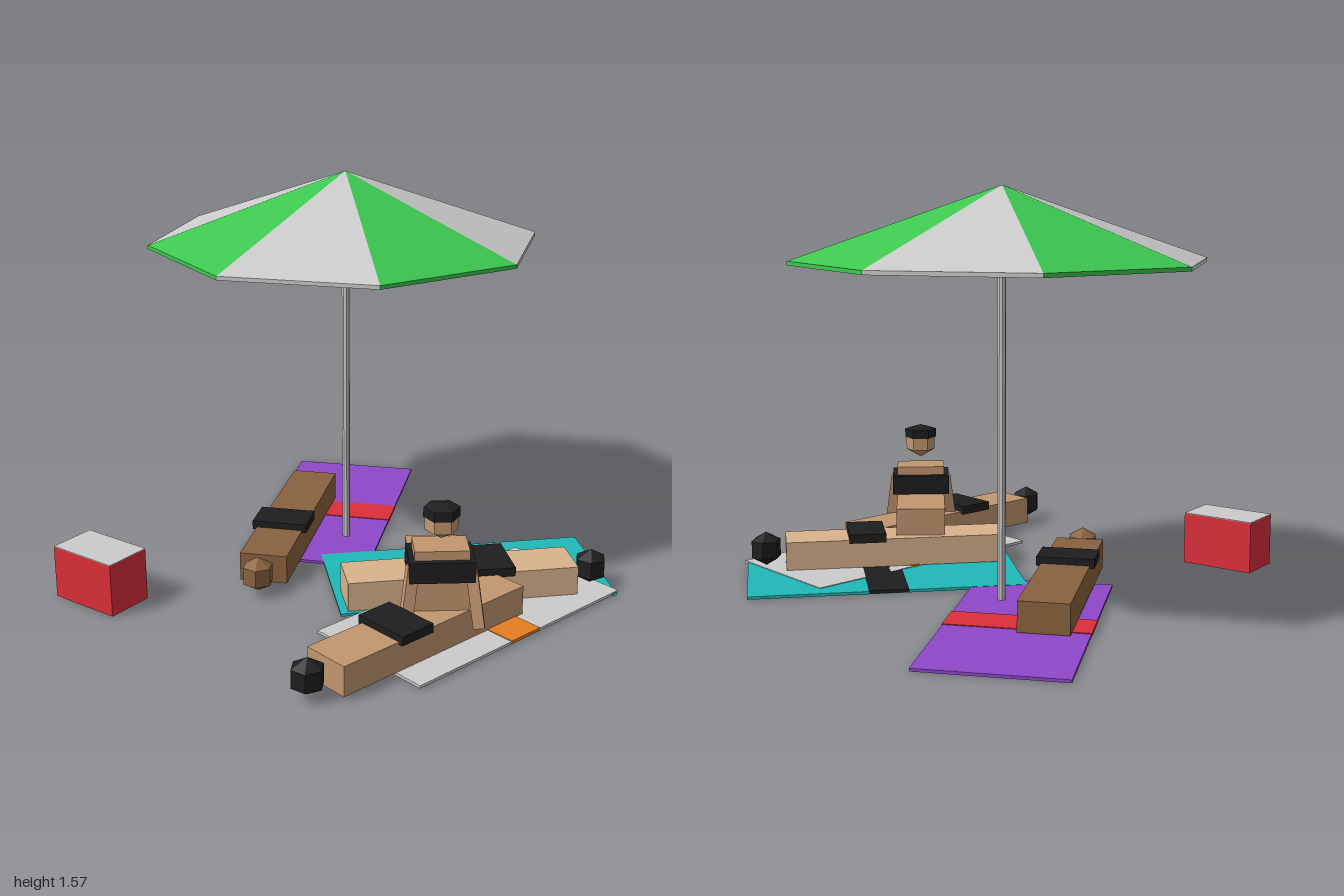
import * as THREE from 'three';

const mat = (color) => new THREE.MeshStandardMaterial({ color, flatShading: true, side: THREE.DoubleSide });
const grey = mat(0xcccccc), green = mat(0x3cc850), red = mat(0xdc2e3a), black = mat(0x1e1e20);
const purple = mat(0x8e48c8), teal = mat(0x20b8b8), orange = mat(0xe67e22);
const skinDark = mat(0x8a623f), skinLight = mat(0xd9b38c), skinMid = mat(0xc39770);

function add(parent, name, geometry, material, x = 0, y = 0, z = 0) {
  const mesh = new THREE.Mesh(geometry, material);
  mesh.name = name;
  mesh.position.set(x, y, z);
  parent.add(mesh);
  return mesh;
}

// Box given by its bottom and top heights
const box = (parent, name, material, w, y0, y1, d, x = 0, z = 0) =>
  add(parent, name, new THREE.BoxGeometry(w, y1 - y0, d), material, x, (y0 + y1) / 2, z);

// Group on the ground whose local +z points along (dx, dz)
function place(parent, name, x, z, dx, dz) {
  const group = new THREE.Group();
  group.name = name;
  group.position.set(x, 0, z);
  group.rotation.y = Math.atan2(dx, dz);
  parent.add(group);
  return group;
}

function towel(parent, name, x, z, dx, dz, cloth, stripe, y) {
  const g = place(parent, name, x, z, dx, dz);
  box(g, 'cloth', cloth, 0.537, y, y + 0.011, 1.085);
  box(g, 'stripe', stripe, 0.541, y + 0.002, y + 0.014, 0.155);
}

const headShape = () => new THREE.SphereGeometry(0.07, 6, 3);

// Lying figure: origin at the head, body running along +z
function lyingFigure(parent, name, x, z, dx, dz, skin, headMaterial) {
  const g = place(parent, name, x, z, dx, dz);
  const head = add(g, 'head', headShape(), headMaterial, 0, 0.087, 0);
  head.rotation.y = -g.rotation.y;
  box(g, 'body', skin, 0.19, 0.015, 0.13, 0.9, 0, 0.53);
  box(g, 'swimwear', black, 0.225, 0.12, 0.156, 0.15, 0, 0.41);
}

function limb(parent, name, material, from, to, size) {
  const a = new THREE.Vector3(...from), b = new THREE.Vector3(...to);
  const mesh = add(parent, name, new THREE.BoxGeometry(size, size, a.distanceTo(b)), material);
  mesh.position.copy(a).add(b).multiplyScalar(0.5);
  mesh.quaternion.setFromUnitVectors(new THREE.Vector3(0, 0, 1), b.sub(a).normalize());
}

function sittingFigure(parent) {
  const g = place(parent, 'sittingFigure', 0.58, 0.29, -0.62, -0.78);
  box(g, 'torso', skinMid, 0.2, 0.1, 0.36, 0.135);
  box(g, 'swimTop', black, 0.24, 0.245, 0.325, 0.18);
  box(g, 'legs', skinMid, 0.2, 0.13, 0.24, 0.42, 0, 0.135);
  // Arms lean back on both sides
  for (const s of [-1, 1]) {
    limb(g, 'arm', skinMid, [s * 0.105, 0.3, -0.055], [s * 0.135, 0.07, -0.095], 0.042);
  }
  add(g, 'head', headShape(), skinMid, 0, 0.46, -0.015);
  add(g, 'hair', headShape(), black, 0, 0.495, -0.02).scale.set(1.1, 0.52, 1.1);
}

function parasol(parent) {
  const g = place(parent, 'parasol', -0.2, -0.2, 0, 1);
  add(g, 'pole', new THREE.CylinderGeometry(0.016, 0.016, 1.54, 8), grey, 0, 0.77, 0);
  // Eight alternating panels, each with a narrow hanging rim
  const step = Math.PI / 4;
  for (let i = 0; i < 8; i++) {
    const color = i % 2 ? green : grey;
    add(g, 'canopyPanel', new THREE.ConeGeometry(0.78, 0.27, 1, 1, true, i * step, step), color, 0, 1.432, 0);
    add(g, 'canopyRim', new THREE.CylinderGeometry(0.78, 0.78, 0.015, 1, 1, true, i * step, step), color, 0, 1.29, 0);
  }
}

export function createModel() {
  const model = new THREE.Group();
  model.name = 'beachScene';

  parasol(model);

  // Cool box with a pale lid
  const cooler = place(model, 'coolBox', -0.64, 0.805, 0, 1);
  box(cooler, 'coolBoxBody', red, 0.3, 0, 0.208, 0.19);
  box(cooler, 'coolBoxLid', grey, 0.3, 0.208, 0.211, 0.19);

  towel(model, 'purpleTowel', -0.42, -0.394, 0.41, 0.91, purple, red, 0);
  towel(model, 'tealTowel', 0.405, -0.175, -0.707, 0.707, teal, black, 0.001);
  towel(model, 'greyTowel', 0.598, 0.083, 0.21, -0.978, grey, orange, 0.004);

  lyingFigure(model, 'lyingFigureBack', -0.165, 0.43, -0.41, -0.91, skinDark, skinDark);
  lyingFigure(model, 'lyingFigureMiddle', 0.85, -0.39, -0.707, 0.707, skinLight, black);
  lyingFigure(model, 'lyingFigureFront', 0.47, 0.94, 0.21, -0.978, skinMid, black);
  sittingFigure(model);

  return model;
}
